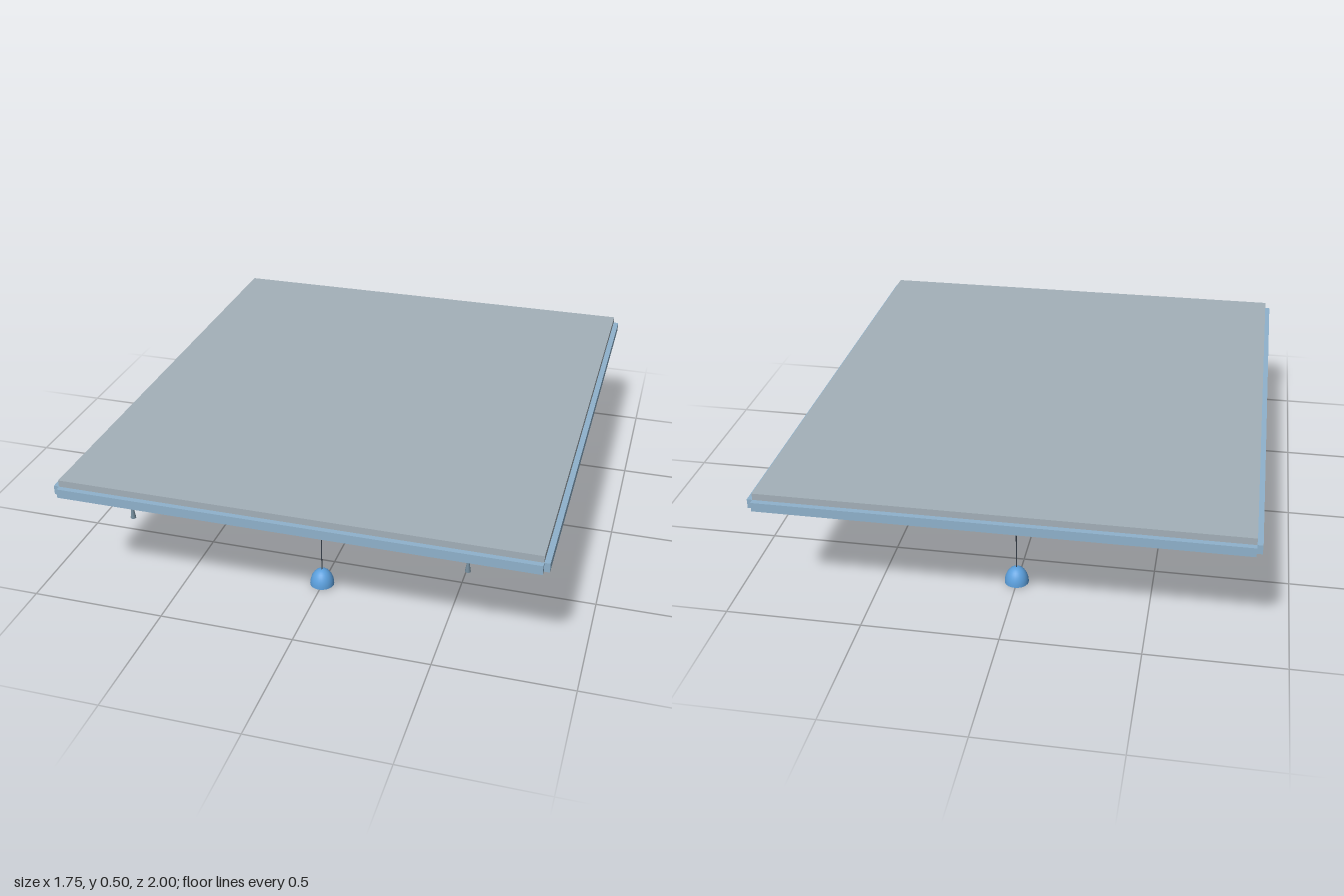
import * as THREE from 'three';

const mat = (name, color, side = THREE.FrontSide) => {
  const m = new THREE.MeshStandardMaterial({ color, side });
  m.name = name;
  return m;
};

export function createModel() {
  const root = new THREE.Group();
  root.name = 'ceilingCanopy';
  const slabGrey = mat('slab grey', 0xa3b0b9);
  const beamBlue = mat('beam blue', 0x8fb2cc);
  const shadeBlue = mat('shade blue', 0x5b9fdc, THREE.DoubleSide);
  const dropGrey = mat('drop grey blue', 0x748c9c);
  const cordDark = mat('cord dark', 0x39424d);

  const add = (parent, name, geo, material, x, y, z) => {
    const m = new THREE.Mesh(geo, material);
    m.name = name;
    m.position.set(x, y, z);
    parent.add(m);
    return m;
  };
  const box = (name, w, h, d, material, x, y, z) =>
    add(root, name, new THREE.BoxGeometry(w, h, d), material, x, y, z);

  // Roof slab
  box('roofSlab', 1.71, 0.03, 1.96, slabGrey, 0, 0.485, 0);

  // Perimeter frame and the inner three by three grid of beams
  const beamY = 0.458, beamH = 0.034;
  for (const s of [-1, 1]) {
    box('sideBeam', 0.04, beamH, 1.96, beamBlue, s * 0.855, beamY, 0);
    box('endBeam', 1.71, beamH, 0.04, beamBlue, 0, beamY, s * 0.98);
    box('longInnerBeam', 0.035, beamH - 0.002, 1.93, beamBlue, s * 0.285, beamY, 0);
    box('crossInnerBeam', 1.68, beamH - 0.002, 0.035, beamBlue, 0, beamY, s * 0.327);
  }

  // Pendant lamps: ceiling rose, cord, open dome shade and bulb
  const domePoints = [];
  for (let i = 0; i <= 10; i++) {
    const a = (i / 10) * Math.PI / 2;
    domePoints.push(new THREE.Vector2(0.045 * Math.cos(a), 0.063 * Math.sin(a)));
  }
  const domeGeo = new THREE.LatheGeometry(domePoints, 24);
  const lampCord = new THREE.CylinderGeometry(0.002, 0.002, 0.4, 8);
  const roseGeo = new THREE.CylinderGeometry(0.02, 0.02, 0.015, 16);
  const bulbGeo = new THREE.SphereGeometry(0.015, 16, 10);
  for (const z of [-0.655, 0, 0.655]) {
    const lamp = new THREE.Group();
    lamp.name = 'pendantLamp';
    lamp.position.z = z;
    add(lamp, 'ceilingRose', roseGeo, dropGrey, 0, 0.4625, 0);
    add(lamp, 'lampCord', lampCord, cordDark, 0, 0.268, 0);
    add(lamp, 'domeShade', domeGeo, shadeBlue, 0, 0.007, 0);
    add(lamp, 'bulb', bulbGeo, dropGrey, 0, 0.015, 0);
    root.add(lamp);
  }

  // Small hanging drops in two wandering rows, four repeating lengths
  const rows = {
    '1': [0.6, 0.63, 0.52, 0.62, 0.61, 0.68, 0.67, 0.58, 0.61, 0.58, 0.48, 0.46,
      0.49, 0.635, 0.57, 0.55, 0.575, 0.66, 0.59, 0.61, 0.51, 0.53, 0.43, 0.44],
    '-1': [0.605, 0.695, 0.71, 0.68, 0.59, 0.66, 0.71, 0.66, 0.595, 0.69, 0.68, 0.56,
      0.565, 0.65, 0.59, 0.53, 0.435, 0.65, 0.59, 0.61, 0.61, 0.64, 0.65, 0.66],
  };
  const bottoms = [0.36, 0.385, 0.408, 0.432];
  const coneGeo = new THREE.CylinderGeometry(0.004, 0.01, 0.04, 10);
  for (const [side, xs] of Object.entries(rows)) {
    xs.forEach((x, i) => {
      const drop = new THREE.Group();
      drop.name = 'hangingDrop';
      drop.position.set(Number(side) * x, 0, 0.93 - i * 0.0809);
      const bottom = bottoms[i % 4];
      const rodLength = Math.max(0.005, 0.47 - bottom - 0.038);
      add(drop, 'dropCone', coneGeo, dropGrey, 0, bottom + 0.02, 0);
      add(drop, 'dropRod', new THREE.CylinderGeometry(0.004, 0.004, rodLength, 8),
        dropGrey, 0, 0.47 - rodLength / 2, 0);
      root.add(drop);
    });
  }
  return root;
}
